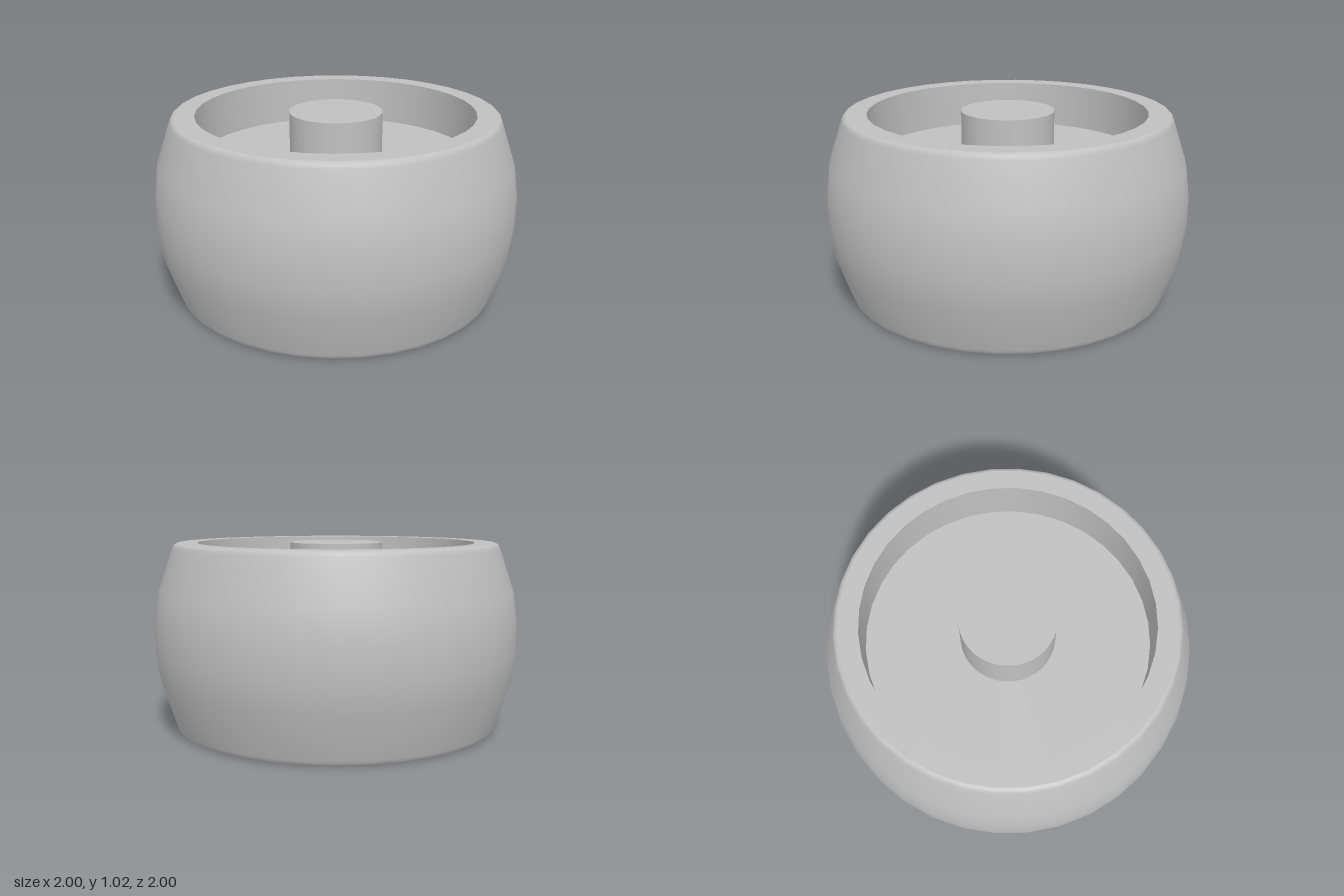
import * as THREE from 'three';

const HEIGHT = 1.02, RIM = 0.764, HUB = 0.255, DEPTH = 0.255, SIDES = 36;

export function createModel() {
  const model = new THREE.Group();
  model.name = 'roller';
  const grey = new THREE.MeshStandardMaterial({ color: 0xc0c0c0 });
  grey.name = 'light grey';

  // Revolve a profile of [radius, height] pairs around the upright axis
  const revolve = (name, profile, sides = SIDES) => {
    const points = profile.map(([r, y]) => new THREE.Vector2(r, y));
    const mesh = new THREE.Mesh(new THREE.LatheGeometry(points, sides), grey);
    mesh.name = name;
    model.add(mesh);
  };

  // Bulging tread with small rounded edges, mirrored about mid height
  const half = [[0.872, 0], [0.884, 0.004], [0.893, 0.013], [0.9, 0.03], [0.977, 0.26], [1, 0.43]];
  const upper = half.map(([r, y]) => [r, HEIGHT - y]).reverse();
  revolve('tread', [...half, ...upper]);

  // Flat rim rings and recess walls on both ends
  revolve('topRim', [[0.872, HEIGHT], [RIM, HEIGHT]]);
  revolve('topRecessWall', [[RIM, HEIGHT], [RIM, HEIGHT - DEPTH]]);
  revolve('bottomRim', [[RIM, 0], [0.872, 0]]);
  revolve('bottomRecessWall', [[RIM, DEPTH], [RIM, 0]]);

  // Web disc between the two recesses
  const web = new THREE.Mesh(
    new THREE.CylinderGeometry(RIM, RIM, HEIGHT - 2 * DEPTH, SIDES), grey);
  web.name = 'web';
  web.position.y = HEIGHT / 2;
  model.add(web);

  // Central hub, flush with both rims
  const hub = new THREE.Mesh(new THREE.CylinderGeometry(HUB, HUB, HEIGHT, SIDES), grey);
  hub.name = 'hub';
  hub.position.y = HEIGHT / 2;
  model.add(hub);

  return model;
}
